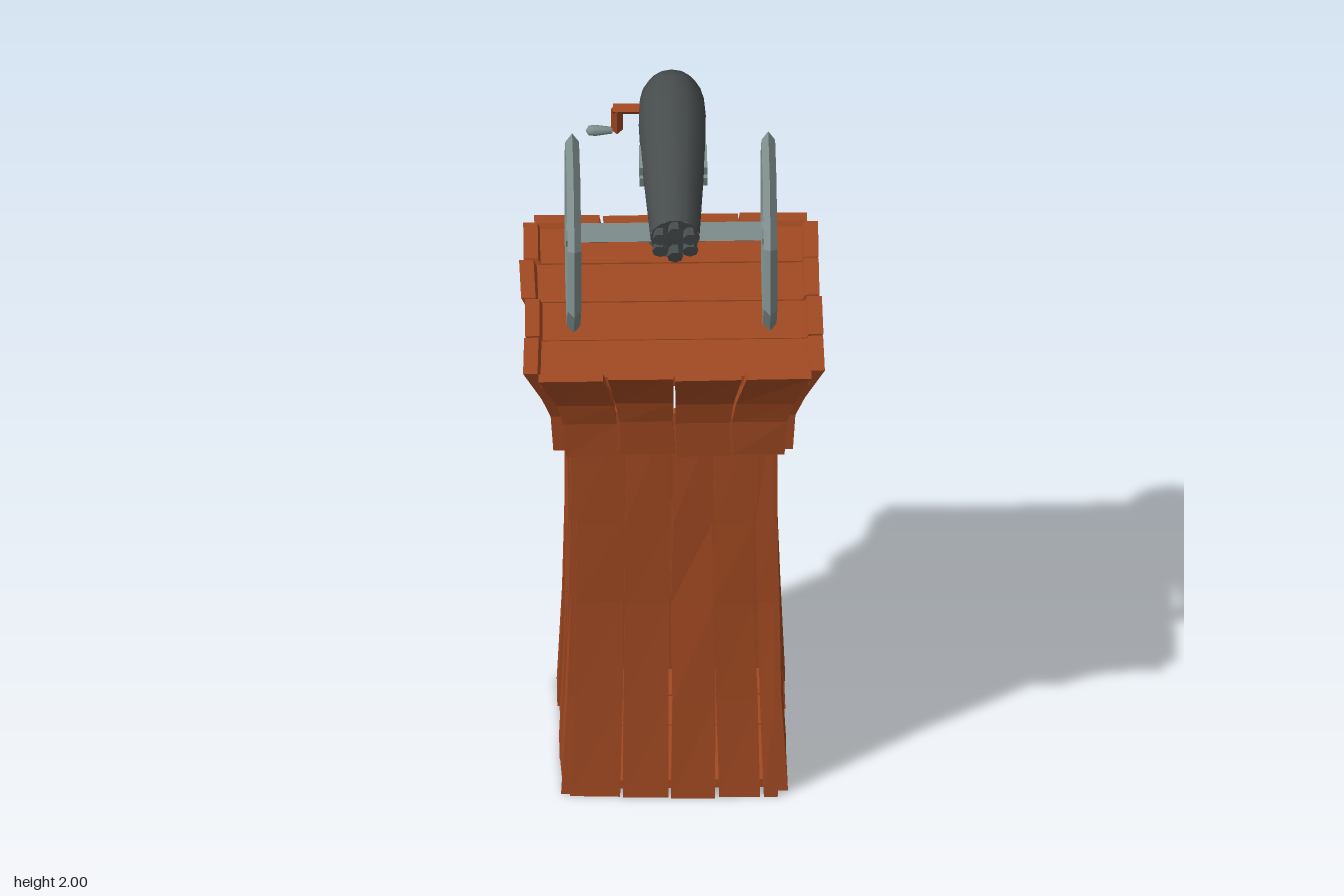
import * as THREE from 'three';

const wood = new THREE.MeshStandardMaterial({ color: 0xa34a22 });
wood.name = 'wood';
const steel = new THREE.MeshStandardMaterial({ color: 0x80908f });
steel.name = 'steel';
const iron = new THREE.MeshStandardMaterial({ color: 0x474c4d });
iron.name = 'darkIron';

// small seeded generator for uneven planks
let seed = 11;
const jitter = (a) => {
  seed = (seed * 16807) % 2147483647;
  return (seed / 2147483647 * 2 - 1) * a;
};

function faceted(geometry) {
  const g = geometry.index ? geometry.toNonIndexed() : geometry;
  g.computeVertexNormals();
  return g;
}

function add(parent, name, geometry, material, x = 0, y = 0, z = 0) {
  const mesh = new THREE.Mesh(geometry, material);
  mesh.name = name;
  mesh.position.set(x, y, z);
  parent.add(mesh);
  return mesh;
}

// bar with flat sides running between two points
function bar(parent, name, a, b, r0, r1, sides, material) {
  const dir = b.clone().sub(a);
  const geo = faceted(new THREE.CylinderGeometry(r1, r0, dir.length(), sides));
  const mesh = add(parent, name, geo, material);
  mesh.position.copy(a).addScaledVector(dir, 0.5);
  mesh.quaternion.setFromUnitVectors(new THREE.Vector3(0, 1, 0), dir.normalize());
  return mesh;
}

// upright plank following rows of [height, outer distance, half width of wall]
function wallPlank(rows, u0, u1, thickness, rough) {
  const n = rows.length - 1;
  const geo = new THREE.BoxGeometry(1, 1, 1, 1, n, 1);
  const p = geo.attributes.position;
  const shift = jitter(rough);
  const edges = rows.map(() => [jitter(0.004), jitter(0.004), jitter(rough * 0.6), jitter(rough * 0.6)]);
  for (let i = 0; i < p.count; i++) {
    const row = Math.round((p.getY(i) + 0.5) * n);
    const right = p.getX(i) > 0 ? 1 : 0;
    const [y, out, half] = rows[row];
    const x = (right ? u1 : u0) * half + (right ? -0.003 : 0.003) + edges[row][right];
    const z = out + shift + edges[row][2 + right] - (p.getZ(i) > 0 ? 0 : thickness);
    p.setXYZ(i, x, y, z);
  }
  return faceted(geo);
}

function buildWalls(name, rows, seams, thickness, rough) {
  const group = new THREE.Group();
  group.name = name;
  for (let side = 0; side < 4; side++) {
    const wall = new THREE.Group();
    wall.name = name + 'Side';
    wall.rotation.y = side * Math.PI / 2;
    for (let i = 0; i < seams.length - 1; i++) {
      add(wall, name + 'Plank', wallPlank(rows, seams[i], seams[i + 1], thickness, rough), wood);
    }
    group.add(wall);
  }
  return group;
}

// horizontal boards running along x
function buildFloor(name, half, top, thickness, seams) {
  const group = new THREE.Group();
  group.name = name;
  for (let i = 0; i < seams.length - 1; i++) {
    const depth = seams[i + 1] - seams[i] - 0.004;
    add(group, name + 'Board', new THREE.BoxGeometry(half * 2, thickness, depth), wood,
      0, top - thickness / 2 + jitter(0.002), (seams[i] + seams[i + 1]) / 2);
  }
  return group;
}

function buildWheel(x) {
  const wheel = new THREE.Group();
  wheel.name = 'wheel';
  wheel.position.set(x, 1.6, 0.025);
  const profile = [[0.206, -0.01], [0.245, -0.018], [0.268, 0], [0.245, 0.018], [0.206, 0.01], [0.206, -0.01]]
    .map(([r, y]) => new THREE.Vector2(r, y));
  const rim = new THREE.LatheGeometry(profile, 8, Math.PI / 8);
  rim.rotateZ(Math.PI / 2);
  add(wheel, 'wheelRim', faceted(rim), steel);
  const hub = new THREE.CylinderGeometry(0.034, 0.034, 0.036, 8);
  hub.rotateZ(Math.PI / 2);
  add(wheel, 'wheelHub', faceted(hub), steel);
  for (let i = 0; i < 10; i++) {
    const a = (i + 0.2) * Math.PI / 5;
    const d = new THREE.Vector3(0, Math.sin(a), Math.cos(a));
    bar(wheel, 'wheelSpoke', d.clone().multiplyScalar(0.02), d.clone().multiplyScalar(0.212), 0.013, 0.01, 4, steel);
  }
  return wheel;
}

function buildCarriage() {
  const carriage = new THREE.Group();
  carriage.name = 'carriage';
  carriage.add(buildWheel(-0.262), buildWheel(0.252));
  const axle = add(carriage, 'axle', new THREE.BoxGeometry(0.55, 0.05, 0.04), steel, -0.005, 1.596, 0.016);
  axle.rotation.x = -0.6;

  // tapered trail sloping down to the rear
  const shape = new THREE.Shape();
  shape.moveTo(-0.07, 0.0);
  shape.lineTo(-0.027, -0.31);
  shape.lineTo(0.027, -0.31);
  shape.lineTo(0.07, 0.0);
  const trail = add(carriage, 'trail',
    new THREE.ExtrudeGeometry(shape, { depth: 0.035, bevelEnabled: false }), steel, 0, 1.595, -0.015);
  trail.rotation.x = 0.83;

  // post and cradle below the gun
  const post = add(carriage, 'post', new THREE.BoxGeometry(0.042, 0.25, 0.045), steel, 0, 1.715, 0.035);
  post.rotation.x = 0.255;
  const cradle = add(carriage, 'cradle', new THREE.BoxGeometry(0.178, 0.03, 0.09), steel, 0, 1.83, 0.072);
  cradle.rotation.x = 0.255;
  for (const s of [-1, 1]) {
    const arm = add(carriage, 'cradleArm', new THREE.BoxGeometry(0.012, 0.05, 0.08), steel, s * 0.083, 1.85, 0.07);
    arm.rotation.x = 0.255;
  }
  return carriage;
}

function buildGun() {
  const gun = new THREE.Group();
  gun.name = 'gun';
  gun.position.set(0, 1.914, -0.1);
  gun.rotation.x = 0.255;
  const profile = [[0, -0.098], [0.03, -0.094], [0.058, -0.078], [0.077, -0.048], [0.086, -0.01],
    [0.09, 0.05], [0.088, 0.12], [0.08, 0.25], [0.065, 0.46]].map(([r, y]) => new THREE.Vector2(r, y));
  const body = new THREE.LatheGeometry(profile, 14);
  body.rotateX(Math.PI / 2);
  add(gun, 'barrelCasing', body, iron);
  add(gun, 'barrelFront', new THREE.CircleGeometry(0.065, 14), iron, 0, 0, 0.46);
  // ring of flared muzzles
  for (let i = 0; i < 6; i++) {
    const a = i * Math.PI / 3 + Math.PI / 6;
    const x = Math.cos(a), y = Math.sin(a);
    bar(gun, 'muzzle', new THREE.Vector3(x * 0.043, y * 0.043, 0.44),
      new THREE.Vector3(x * 0.046, y * 0.046, 0.49), 0.014, 0.021, 7, iron);
  }
  return gun;
}

function buildCrank() {
  const crank = new THREE.Group();
  crank.name = 'crank';
  const elbow = new THREE.Vector3(-0.144, 1.917, -0.088);
  const grip = new THREE.Vector3(-0.144, 1.833, -0.115);
  bar(crank, 'crankShaft', new THREE.Vector3(-0.07, 1.917, -0.086), elbow.clone().setX(-0.154), 0.016, 0.016, 4, wood);
  bar(crank, 'crankArm', elbow, grip, 0.016, 0.016, 4, wood);
  const profile = [[0, 0], [0.009, 0], [0.015, 0.045], [0.013, 0.062], [0, 0.07]]
    .map(([r, y]) => new THREE.Vector2(r, y));
  const handle = new THREE.LatheGeometry(profile, 8);
  handle.rotateZ(Math.PI / 2);
  add(crank, 'crankHandle', handle, steel, -0.156, grip.y, -0.112);
  return crank;
}

export function createModel() {
  const model = new THREE.Group();
  model.name = 'gunTower';

  // slightly waisted shaft
  const shaft = [[0.005, 0.297, 0.277], [0.3, 0.285, 0.266], [0.6, 0.276, 0.26], [0.85, 0.274, 0.258], [1.2, 0.275, 0.26]];
  model.add(buildWalls('shaft', shaft, [-1, -0.5, -0.04, 0.4, 0.82, 1], 0.026, 0.006));
  model.add(buildFloor('base', 0.265, 0.035, 0.025, [-0.265, -0.14, 0, 0.13, 0.265]));

  // flared collar around the platform
  const collar = [[1.09, 0.312, 0.29], [1.2, 0.32, 0.295], [1.27, 0.342, 0.315], [1.38, 0.392, 0.36]];
  model.add(buildWalls('collar', collar, [-1, -0.51, 0, 0.5, 1], 0.038, 0.006));
  model.add(buildFloor('platform', 0.352, 1.365, 0.03, [-0.352, -0.185, -0.005, 0.175, 0.352]));

  model.add(buildCarriage(), buildGun(), buildCrank());
  return model;
}
